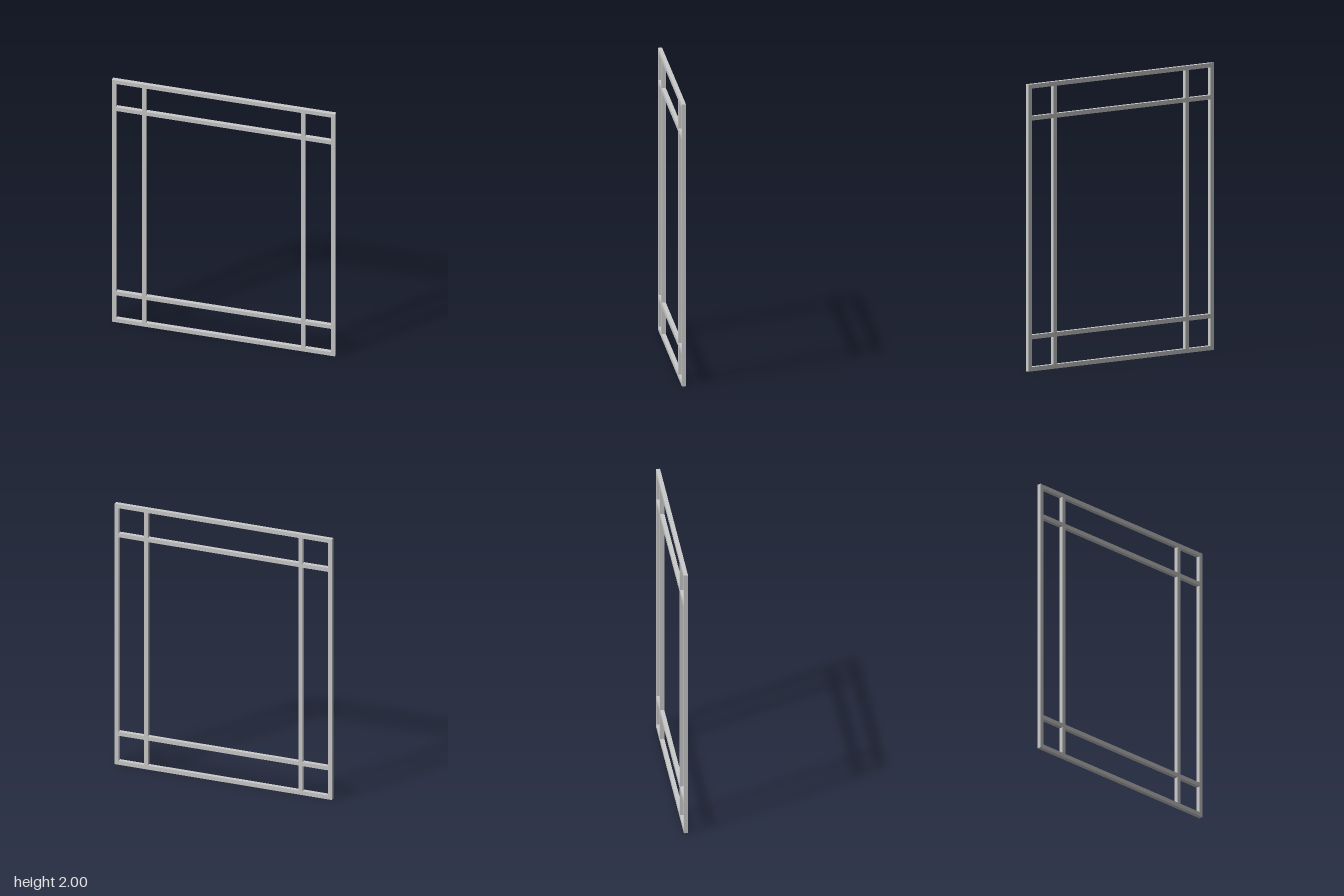
import * as THREE from 'three';

const W = 1.595, H = 2, BAR = 0.03, DEPTH = 0.029;
const BAR_X = 0.568, BAR_Y = 0.762; // inner bar offsets from the centre

export function createModel() {
  const group = new THREE.Group();
  const material = new THREE.MeshStandardMaterial({ color: 0xcccccc });

  function add(name, geometry, x, y, z = 0) {
    const mesh = new THREE.Mesh(geometry, material);
    mesh.name = name;
    mesh.position.set(x, y, z);
    group.add(mesh);
  }

  function rectangle(target, w, h) {
    target.moveTo(-w / 2, -h / 2);
    target.lineTo(w / 2, -h / 2);
    target.lineTo(w / 2, h / 2);
    target.lineTo(-w / 2, h / 2);
    target.closePath();
    return target;
  }

  // Outer frame
  const outline = rectangle(new THREE.Shape(), W, H);
  outline.holes.push(rectangle(new THREE.Path(), W - 2 * BAR, H - 2 * BAR));
  const frame = new THREE.ExtrudeGeometry(outline, { depth: DEPTH, bevelEnabled: false });
  add('outerFrame', frame, 0, H / 2, -DEPTH / 2);

  // Upright inner bars, full height of the opening
  for (const s of [-1, 1]) {
    const bar = new THREE.BoxGeometry(BAR, H - 2 * BAR, DEPTH);
    add(s > 0 ? 'leftUprightBar' : 'rightUprightBar', bar, s * BAR_X, H / 2);
  }

  // Cross bars, split where the uprights pass through
  const inner = BAR_X - BAR / 2, outer = BAR_X + BAR / 2, edge = W / 2 - BAR;
  const spans = [[-edge, -outer], [-inner, inner], [outer, edge]];
  for (const s of [-1, 1]) {
    for (const [a, b] of spans) {
      const bar = new THREE.BoxGeometry(b - a, BAR, DEPTH);
      add(s > 0 ? 'upperCrossBar' : 'lowerCrossBar', bar, (a + b) / 2, H / 2 + s * BAR_Y);
    }
  }

  return group;
}
